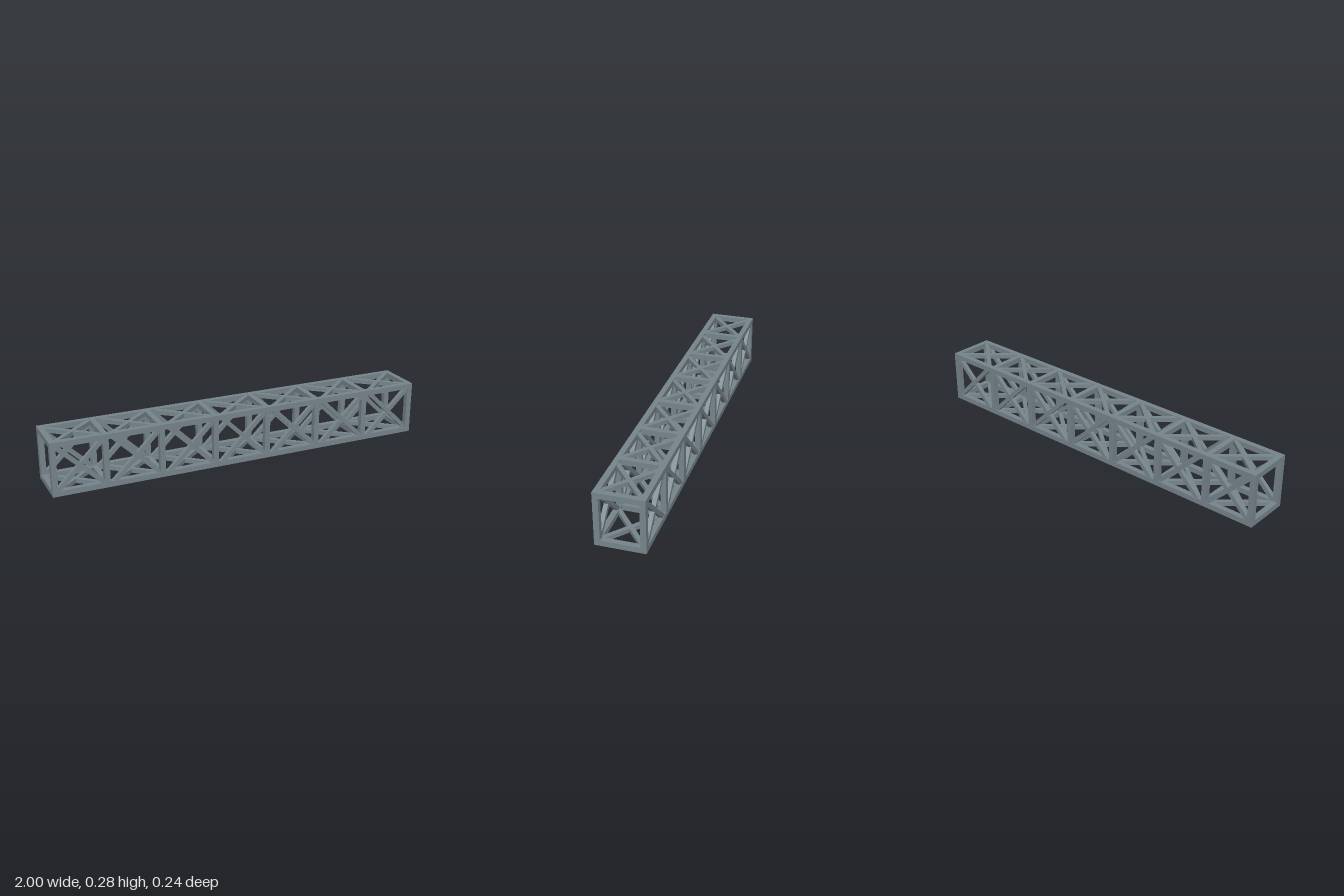
import * as THREE from 'three';

const L = 2, H = 0.277, W = 0.244; // overall length, height, depth
const T = 0.028;                   // chord and post thickness
const D = 0.022;                   // diagonal brace thickness
const PANELS = 7;
const STEP = L / PANELS;

export function createModel() {
  const model = new THREE.Group();
  model.name = 'boxTruss';
  const material = new THREE.MeshStandardMaterial({ color: 0x76858b });

  const bar = (name, sx, sy, sz, x, y, z) => {
    const mesh = new THREE.Mesh(new THREE.BoxGeometry(sx, sy, sz), material);
    mesh.name = name;
    mesh.position.set(x, y, z);
    model.add(mesh);
    return mesh;
  };

  const yMid = H / 2, yOff = H / 2 - T / 2, zOff = W / 2 - T / 2;

  // Four long corner chords
  for (const sy of [-1, 1])
    for (const sz of [-1, 1])
      bar('chord', L, T, T, 0, yMid + sy * yOff, sz * zOff);

  // Rectangular frames: one at each end, the rest closing each panel
  for (let k = 0; k <= PANELS; k++) {
    const x = k === 0 ? -L / 2 + T / 2 : -L / 2 + k * STEP - T / 2;
    for (const s of [-1, 1]) {
      bar('post', T, H - 2 * T, T, x, yMid, s * zOff);
      bar('crossbar', T, T, W - 2 * T, x, yMid + s * yOff, 0);
    }
  }

  // Crossed braces on all four long faces of every panel
  const sideAngle = Math.atan2(H, STEP), deckAngle = Math.atan2(W, STEP);
  const sideLength = (H - 0.034) / Math.sin(sideAngle);
  const deckLength = (W - 0.034) / Math.sin(deckAngle);
  for (let k = 0; k < PANELS; k++) {
    const x = -L / 2 + (k + 0.5) * STEP;
    for (const face of [-1, 1])
      for (const lean of [-1, 1]) {
        bar('sideBrace', sideLength, D, D, x, yMid, face * zOff).rotation.z = lean * sideAngle;
        bar('deckBrace', deckLength, D, D, x, yMid + face * yOff, 0).rotation.y = lean * deckAngle;
      }
  }
  return model;
}
